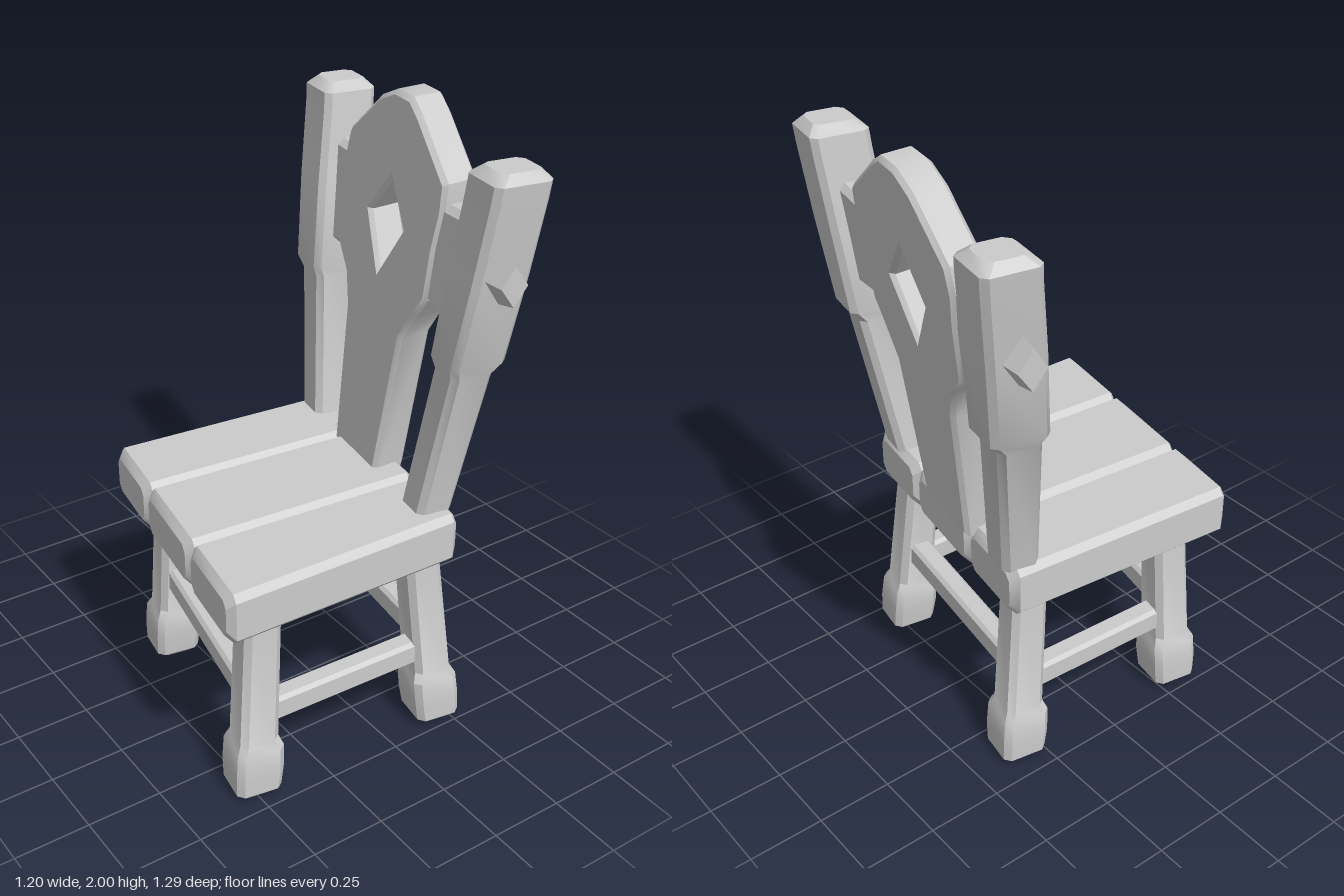
import * as THREE from 'three';
import { toCreasedNormals } from 'three/addons/utils/BufferGeometryUtils.js';

const V = (x, y, z) => new THREE.Vector3(x, y, z);
const material = new THREE.MeshStandardMaterial({ color: 0xcccccc });

// The chair faces -x and is turned slightly: depth and width axes of its plan.
const DEPTH = V(0.985, 0, 0.17);
const WIDTH = V(-0.17, 0, 0.985);
const UP = V(0, 1, 0);

function addMesh(parent, name, geometry) {
  const mesh = new THREE.Mesh(toCreasedNormals(geometry, 0.55), material);
  mesh.name = name;
  parent.add(mesh);
  return mesh;
}

// Ring: centre c, half-size vectors u and v, corners cut by k.
const ring = (c, u, v) => ({ c, u, v });
const shrink = (a, e) => a.clone().setLength(Math.max(a.length() - e, 0.005));

// Bevelled timber lofted through rectangular rings.
function timber(rings, bevel = 0.02, k = 0.02) {
  const n = rings.length;
  const axis = rings[n - 1].c.clone().sub(rings[0].c);
  const end = (r, next) => {
    const inner = next.c.clone().sub(r.c).setLength(bevel).add(r.c);
    return [ring(r.c, shrink(r.u, bevel), shrink(r.v, bevel)), ring(inner, r.u, r.v)];
  };
  const all = [...end(rings[0], rings[1]), ...rings.slice(1, -1),
    ...end(rings[n - 1], rings[n - 2]).reverse()];
  const pos = [], index = [];
  for (const { c, u, v } of all) {
    const a = 1 - k / u.length(), b = 1 - k / v.length();
    const outline = [[1, -b], [1, b], [a, 1], [-a, 1], [-1, b], [-1, -b], [-a, -1], [a, -1]];
    for (const [s, t] of outline) {
      pos.push(...c.clone().addScaledVector(u, s).addScaledVector(v, t).toArray());
    }
  }
  const flip = rings[0].u.clone().cross(rings[0].v).dot(axis) < 0;
  const tri = (a, b, c) => (flip ? index.push(a, c, b) : index.push(a, b, c));
  for (let i = 0; i < all.length - 1; i++) {
    for (let j = 0; j < 8; j++) {
      const a = i * 8 + j, b = i * 8 + (j + 1) % 8;
      tri(a, b, b + 8);
      tri(a, b + 8, a + 8);
    }
  }
  const last = (all.length - 1) * 8;
  for (let j = 1; j < 7; j++) {
    tri(0, j + 1, j);
    tri(last, last + j, last + j + 1);
  }
  const g = new THREE.BufferGeometry();
  g.setAttribute('position', new THREE.Float32BufferAttribute(pos, 3));
  g.setIndex(index);
  return g;
}

// Upright timber from rows of [x, y, z, halfDepth, halfWidth].
const upright = (rows, bevel) => timber(rows.map(([x, y, z, d, w]) =>
  ring(V(x, y, z), DEPTH.clone().multiplyScalar(d), WIDTH.clone().multiplyScalar(w))), bevel);

// Horizontal bar between two points.
const bar = (from, to, side, halfSide, halfHeight) => timber([from, to].map((c) =>
  ring(c, side.clone().multiplyScalar(halfSide), UP.clone().multiplyScalar(halfHeight))), 0.01, 0.012);

export function createModel() {
  const chair = new THREE.Group();
  chair.name = 'chair';

  // Seat of three planks, cut slightly askew
  const seat = new THREE.Group();
  seat.name = 'seat';
  chair.add(seat);
  const frontZ = [0.46, 0.135, -0.235, -0.53];
  const backZ = [0.475, 0.195, -0.165, -0.455];
  const frontPoint = (z) => V(-0.6 + (0.45 - z) * 0.17, 0.71, z);
  const backPoint = (z) => V(0.25 + (0.475 - z) * 0.155, 0.71, z);
  for (let i = 0; i < 3; i++) {
    const rings = [[frontZ, frontPoint], [backZ, backPoint]].map(([z, at]) => {
      const p = at(z[i]), q = at(z[i + 1]);
      return ring(p.clone().add(q).multiplyScalar(0.5), p.clone().sub(q).multiplyScalar(0.5), V(0, 0.087, 0));
    });
    addMesh(seat, 'seatPlank', timber(rings, 0.025, 0.022));
  }

  // Splayed legs with block feet: foot x, z then top x, z
  const legs = {
    frontLeftLeg: [-0.485, 0.38, -0.44, 0.36],
    frontRightLeg: [-0.32, -0.405, -0.3, -0.37],
    backLeftLeg: [0.215, 0.41, 0.165, 0.365],
    backRightLeg: [0.32, -0.37, 0.275, -0.355],
  };
  const legAt = (name, y) => {
    const [fx, fz, tx, tz] = legs[name];
    const t = y / 0.64;
    return V(fx + (tx - fx) * t, y, fz + (tz - fz) * t);
  };
  for (const name of Object.keys(legs)) {
    const rows = [[0, 0.076], [0.09, 0.08], [0.17, 0.078], [0.2, 0.064], [0.64, 0.06]].map(([y, h]) => {
      const p = legAt(name, y);
      return [p.x, y, p.z, h, h];
    });
    addMesh(chair, name, upright(rows, 0.02));
  }

  // Stretchers
  const stretch = (name, a, b, y, side) =>
    addMesh(chair, name, bar(legAt(a, y), legAt(b, y), side, 0.038, 0.043));
  stretch('frontStretcher', 'frontLeftLeg', 'frontRightLeg', 0.33, DEPTH);
  stretch('backStretcher', 'backLeftLeg', 'backRightLeg', 0.33, DEPTH);
  stretch('leftStretcher', 'frontLeftLeg', 'backLeftLeg', 0.277, WIDTH);
  stretch('rightStretcher', 'frontRightLeg', 'backRightLeg', 0.277, WIDTH);

  // Leaning back posts with thick heads
  addMesh(chair, 'leftPost', upright([
    [0.2, 0.76, 0.353, 0.062, 0.064], [0.27, 1.28, 0.427, 0.072, 0.066],
    [0.28, 1.32, 0.432, 0.094, 0.078], [0.31, 1.6, 0.468, 0.096, 0.088],
    [0.333, 1.84, 0.5, 0.096, 0.09], [0.34, 1.93, 0.51, 0.096, 0.09]], 0.03));
  addMesh(chair, 'rightPost', upright([
    [0.33, 0.76, -0.373, 0.062, 0.064], [0.4, 1.28, -0.455, 0.072, 0.07],
    [0.41, 1.32, -0.462, 0.094, 0.084], [0.45, 1.6, -0.495, 0.094, 0.088],
    [0.49, 1.84, -0.525, 0.092, 0.09], [0.5, 1.925, -0.535, 0.092, 0.09]], 0.03));

  // Diamond pegs on the outer sides of the posts
  for (const [name, x, z, s] of [['leftPeg', 0.285, 0.54, 1], ['rightPeg', 0.465, -0.565, -1]]) {
    const peg = new THREE.CylinderGeometry(0.055, 0.085, 0.14, 4);
    peg.rotateX(s * Math.PI / 2).scale(0.8, 1.15, 1).rotateY(-0.17);
    peg.translate(x, 1.615, z + s * 0.015);
    addMesh(chair, name, peg);
  }

  // Leaning splat with a diamond opening, outline as [z, y]
  const outline = [[0.09, 0.77], [0.135, 1.27], [0.2, 1.37], [0.25, 1.44], [0.255, 1.6], [0.275, 1.72],
    [0.27, 1.81], [0.075, 1.96], [0.01, 2], [-0.09, 2], [-0.18, 1.96], [-0.35, 1.81], [-0.365, 1.72],
    [-0.345, 1.6], [-0.34, 1.43], [-0.265, 1.35], [-0.23, 1.25], [-0.195, 0.77]];
  const bevel = 0.015;
  const toPoint = ([z, y]) => new THREE.Vector2(-z, y);
  const shape = new THREE.Shape(outline.map(toPoint));
  shape.holes.push(new THREE.Path([[-0.045, 1.735], [0.058, 1.6], [-0.055, 1.435], [-0.15, 1.6]].map(toPoint)));
  const splat = new THREE.ExtrudeGeometry(shape, {
    depth: 0.13 - 2 * bevel, bevelThickness: bevel, bevelSize: bevel, bevelOffset: -bevel, bevelSegments: 1,
  });
  splat.translate(0, 0, -0.05).rotateY(Math.PI / 2);
  const p = splat.attributes.position;
  const splatX = (y, z) => 0.285 + 0.13 * (y - 0.8) - 0.17 * (z + 0.045);
  for (let i = 0; i < p.count; i++) p.setX(i, p.getX(i) + splatX(p.getY(i), p.getZ(i)));
  addMesh(chair, 'backSplat', splat);

  // Short rails joining the splat to the posts
  const rail = (name, z0, z1, y0, y1, h0, h1) => addMesh(chair, name, timber([
    ring(V(splatX(y0, z0), y0, z0), DEPTH.clone().multiplyScalar(0.052), V(h0 * 0.12, h0, 0)),
    ring(V(splatX(y1, z1), y1, z1), DEPTH.clone().multiplyScalar(0.052), V(h1 * 0.12, h1, 0))], 0.01));
  rail('leftRail', 0.2, 0.46, 1.59, 1.58, 0.155, 0.175);
  rail('rightRail', -0.29, -0.5, 1.58, 1.57, 0.165, 0.18);

  return chair;
}
